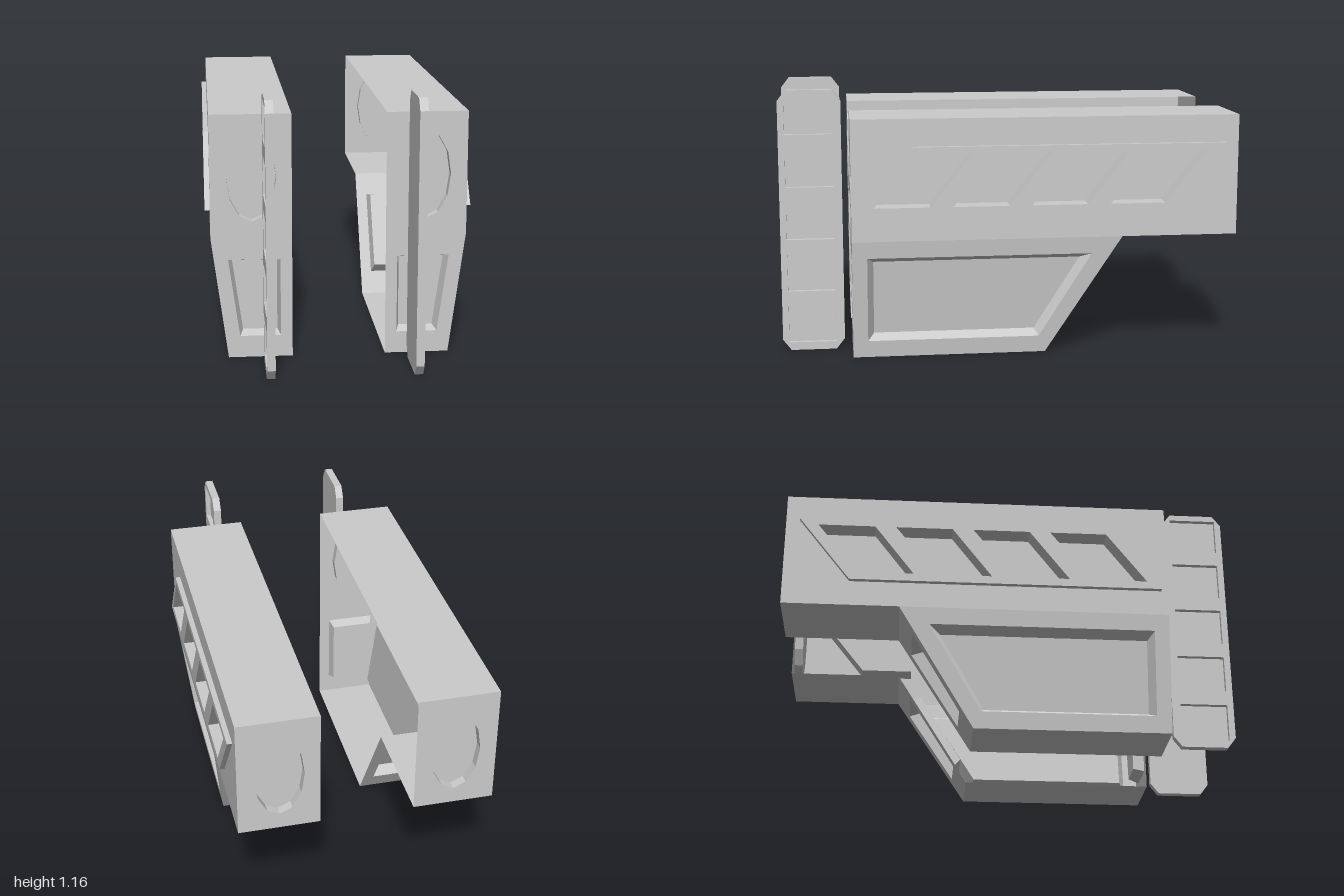
import * as THREE from 'three';

const material = new THREE.MeshStandardMaterial({ color: 0xcccccc, flatShading: true, side: THREE.DoubleSide });
const V = (x, y, z) => new THREE.Vector3(x, y, z);
const points = (list) => {
  const p = list.map(([u, v]) => new THREE.Vector2(u, v));
  return THREE.ShapeUtils.area(p) < 0 ? p.reverse() : p;
};

// Flat face with holes at height h, then the walls and floor of every relief in it.
// Positive relief depth sinks in, negative depth stands out.
function addFace(out, outline, reliefs, h) {
  if (outline) {
    const shape = new THREE.Shape(outline);
    for (const r of reliefs) shape.holes.push(new THREE.Path(points(r.rim)));
    const flat = new THREE.ShapeGeometry(shape).toNonIndexed().getAttribute('position');
    for (let i = 0; i < flat.count; i++) out.push(V(flat.getX(i), flat.getY(i), h));
  }
  for (const r of reliefs) {
    const rim = points(r.rim), floor = points(r.floor || r.rim), low = h - r.depth;
    rim.forEach((a, i) => {
      const j = (i + 1) % rim.length;
      const ra = V(a.x, a.y, h), rb = V(rim[j].x, rim[j].y, h);
      const fa = V(floor[i].x, floor[i].y, low), fb = V(floor[j].x, floor[j].y, low);
      out.push(ra, rb, fb, ra, fb, fa);
    });
    addFace(out, floor, r.inner || [], low);
  }
}

// Face drawn in (u, v), laid out in space by an origin, two axes and an outward direction.
function panel(name, origin, u, v, n, outline, reliefs = []) {
  const verts = [];
  addFace(verts, outline && points(outline), reliefs, 0);
  const basis = new THREE.Matrix4().makeBasis(u, v, n).setPosition(origin);
  if (basis.determinant() < 0) {
    for (let i = 0; i < verts.length; i += 3) [verts[i + 1], verts[i + 2]] = [verts[i + 2], verts[i + 1]];
  }
  const geometry = new THREE.BufferGeometry().setFromPoints(verts).applyMatrix4(basis);
  geometry.computeVertexNormals();
  const mesh = new THREE.Mesh(geometry, material);
  mesh.name = name;
  return mesh;
}

const rect = (a, b, c, d) => [[a, b], [c, b], [c, d], [a, d]];
const X = V(1, 0, 0), Y = V(0, 1, 0), Z = V(0, 0, 1);
const IN = 0.2, OUT = 0.545, FOOT = 0.475, MID = 0.53, TOP = 1.06, FRONT = 0.69, BACK = -1;
const KNEE = -0.49, HEEL = -0.16;

function buildPod() {
  const pod = new THREE.Group();

  // Oval recess and tapered window shared by the front and rear
  const oval = { depth: 0.04, rim: [] };
  for (let i = 0; i < 12; i++) {
    const a = (i / 12) * Math.PI * 2;
    oval.rim.push([0.37 + 0.105 * Math.cos(a), 0.79 + 0.19 * Math.sin(a)]);
  }
  const endWindow = {
    depth: 0.05,
    rim: [[0.25, 0.095], [0.425, 0.095], [0.472, 0.435], [0.25, 0.435]],
    floor: [[0.263, 0.11], [0.411, 0.11], [0.455, 0.42], [0.263, 0.42]],
  };

  // Raised slanted plate with four deep slots
  const slots = [0, 1, 2, 3].map((i) => {
    const z = -0.342 * i;
    return { depth: 0.09, rim: [[0.595 + z, 0.68], [0.352 + z, 0.68], [0.17 + z, 0.91], [0.42 + z, 0.91]] };
  });
  const slotPlate = {
    depth: -0.022,
    rim: [[0.66, 0.645], [-0.71, 0.645], [-0.94, 0.94], [0.43, 0.94]],
    inner: slots,
  };
  const sideWindow = {
    depth: 0.05,
    rim: [[0.625, 0.075], [-0.13, 0.075], [-0.357, 0.455], [0.625, 0.455]],
    floor: [[0.598, 0.1], [-0.113, 0.1], [-0.31, 0.43], [0.598, 0.43]],
  };

  // Shell, left open on its inner side
  pod.add(
    panel('upperSide', V(OUT, 0, 0), Z, Y, X, rect(BACK, MID, FRONT, TOP), [slotPlate]),
    panel('lowerSide', V(FOOT, 0, 0), Z, V((OUT - FOOT) / MID, 1, 0), X,
      [[FRONT, 0], [HEEL, 0], [KNEE, MID], [FRONT, MID]], [sideWindow]),
    panel('front', V(0, 0, FRONT), X, Y, Z,
      [[IN, 0], [FOOT, 0], [OUT, MID], [OUT, TOP], [IN, TOP]], [oval, endWindow]),
    panel('upperRear', V(0, 0, BACK), X, Y, V(0, 0, -1), rect(IN, MID, OUT, TOP), [oval]),
    panel('lowerRear', V(0, 0, HEEL), X, V(0, 1, (KNEE - HEEL) / MID), V(0, -0.53, -0.85),
      [[IN, 0], [FOOT, 0], [OUT, MID], [IN, MID]], [endWindow]),
    panel('roof', V(0, TOP, 0), X, Z, Y, rect(IN, BACK, OUT, FRONT)),
    panel('overhangFloor', V(0, MID, 0), X, Z, V(0, -1, 0), rect(IN, BACK, OUT, KNEE)),
    panel('base', V(0, 0, 0), X, Z, V(0, -1, 0), rect(IN, HEEL, FOOT, FRONT)),
  );
  return pod;
}

function buildBlade() {
  // Upright blade with clipped corners and five windows on its outer face
  const blade = new THREE.Group();
  const z0 = 0.725, z1 = 1, h = 1.165, cz = 0.037, cy = 0.048;
  const outline = [[z0 + cz, 0], [z1 - cz, 0], [z1, cy], [z1, h - cy],
    [z1 - cz, h], [z0 + cz, h], [z0, h - cy], [z0, cy]];
  const windows = [0, 1, 2, 3, 4].map((i) => {
    const y = 0.035 + i * 0.234;
    return { depth: 0.022, rim: rect(0.762, y, 0.972, y + 0.167) };
  });
  blade.add(
    panel('bladeBody', V(0.29, 0, 0), Z, Y, X, null, [{ depth: -0.035, rim: outline, inner: windows }]),
    panel('bladeBack', V(0.29, 0, 0), Z, Y, V(-1, 0, 0), outline),
  );
  return blade;
}

export function createModel() {
  const model = new THREE.Group();
  for (const [side, s] of [['left', 1], ['right', -1]]) {
    const pod = buildPod(), blade = buildBlade();
    pod.name = side + 'Pod';
    blade.name = side + 'Blade';
    pod.scale.x = blade.scale.x = s;
    model.add(pod, blade);
  }
  return model;
}
